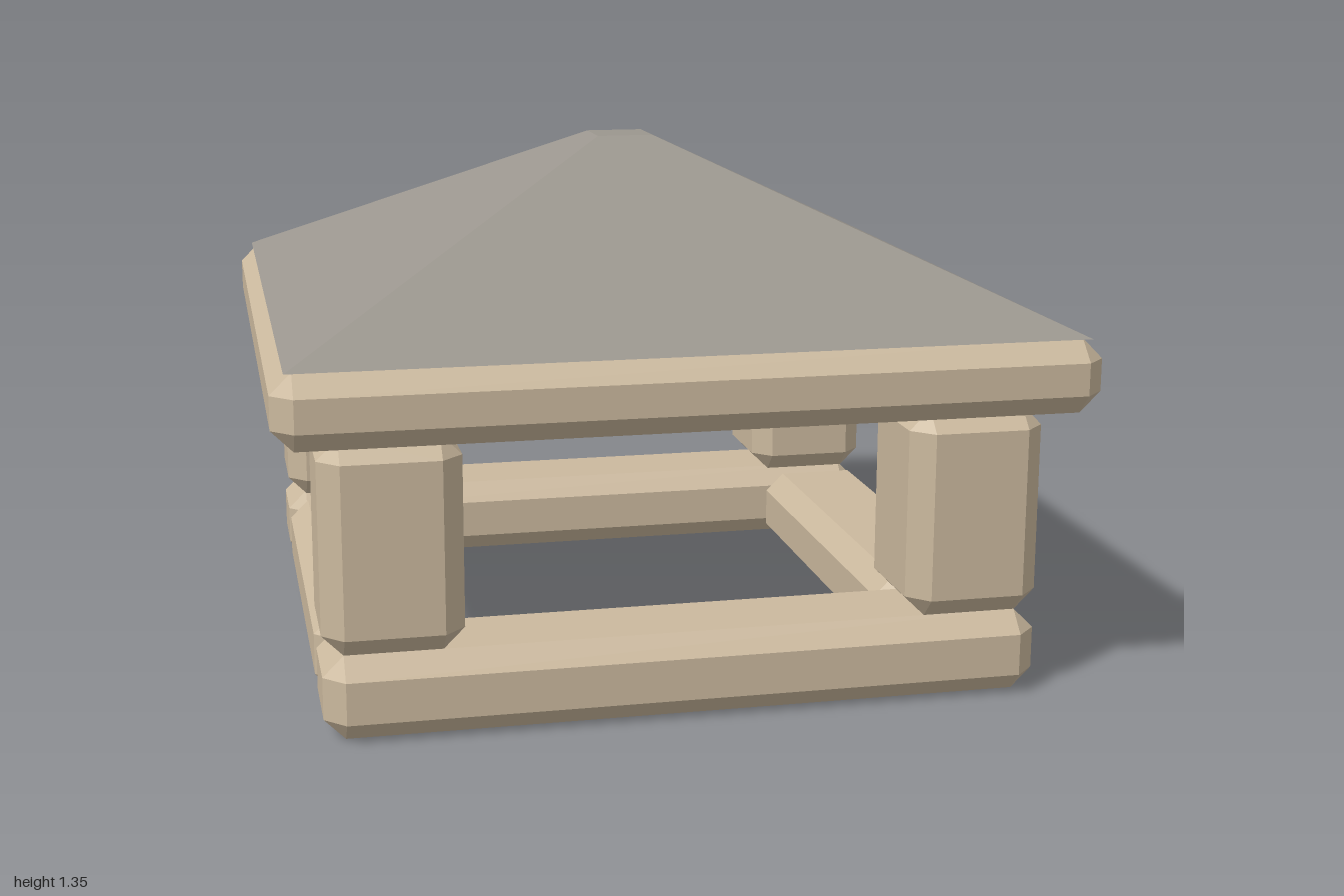
import * as THREE from 'three';
import { ConvexGeometry } from 'three/addons/geometries/ConvexGeometry.js';

const BEVEL = 0.052;

// Box with every edge and corner cut off flat
function chamferedBox(w, h, d, b = BEVEL) {
  const points = [];
  for (const x of [-1, 1]) for (const y of [-1, 1]) for (const z of [-1, 1]) {
    const p = [x * w / 2, y * h / 2, z * d / 2];
    const q = [x * (w / 2 - b), y * (h / 2 - b), z * (d / 2 - b)];
    points.push(
      new THREE.Vector3(p[0], q[1], q[2]),
      new THREE.Vector3(q[0], p[1], q[2]),
      new THREE.Vector3(q[0], q[1], p[2])
    );
  }
  return new ConvexGeometry(points);
}

export function createModel() {
  const group = new THREE.Group();
  const stone = new THREE.MeshStandardMaterial({ color: 0xcbb99e, flatShading: true });
  const slate = new THREE.MeshStandardMaterial({ color: 0x9b968e, flatShading: true });

  const add = (name, geometry, material, x, y, z) => {
    const mesh = new THREE.Mesh(geometry, material);
    mesh.name = name;
    mesh.position.set(x, y, z);
    group.add(mesh);
    return mesh;
  };

  // Base beams: long ones front and back, shorter ones fitted between them
  const longBeam = chamferedBox(1.79, 0.21, 0.315);
  const sideBeam = chamferedBox(0.315, 0.21, 1.16);
  for (const s of [1, -1]) {
    add(s > 0 ? 'frontBeam' : 'backBeam', longBeam, stone, 0, 0.105, s * 0.7375);
    add(s > 0 ? 'leftBeam' : 'rightBeam', sideBeam, stone, s * 0.7375, 0.105, 0);
  }

  // Corner posts
  const post = chamferedBox(0.343, 0.53, 0.343);
  for (const x of [1, -1]) for (const z of [1, -1]) {
    const name = (z > 0 ? 'front' : 'back') + (x > 0 ? 'Left' : 'Right') + 'Post';
    add(name, post, stone, x * 0.7235, 0.475, z * 0.7235);
  }

  // Slab on the posts
  add('roofSlab', chamferedBox(2, 0.185, 2), stone, 0, 0.8325, 0);

  // Four-sided roof with a small flat top
  const roof = new THREE.CylinderGeometry(0.075 * Math.SQRT2, 0.967 * Math.SQRT2, 0.42, 4);
  roof.rotateY(Math.PI / 4);
  add('roof', roof, slate, 0, 1.135, 0);

  return group;
}
